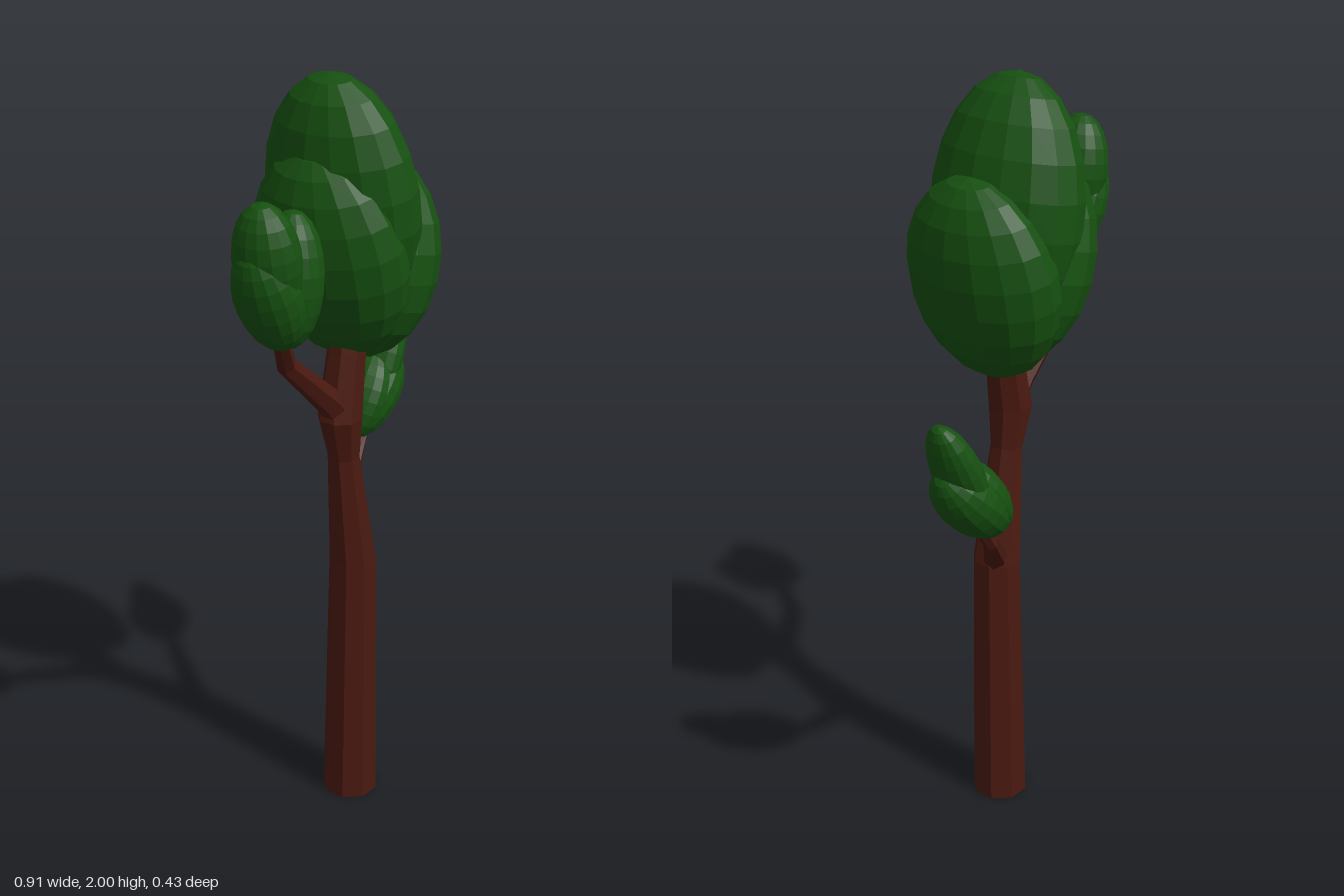
import * as THREE from 'three';

const bark = new THREE.MeshStandardMaterial({ color: 0x4a1a10, flatShading: true });
const leaf = new THREE.MeshStandardMaterial({ color: 0x165010, flatShading: true });

// Faceted limb: rings [x, y, z, radius] joined along a path, capped at both ends
function limb(name, rings, sides) {
  const centres = rings.map(([x, y, z]) => new THREE.Vector3(x, y, z));
  const up = new THREE.Vector3(0, 1, 0);
  const pos = [];
  const index = [];
  rings.forEach((ring, k) => {
    const next = centres[Math.min(k + 1, rings.length - 1)];
    const dir = next.clone().sub(centres[Math.max(k - 1, 0)]).normalize();
    const turn = new THREE.Quaternion().setFromUnitVectors(up, dir);
    for (let i = 0; i < sides; i++) {
      const a = ((i + 0.5) / sides) * Math.PI * 2;
      const p = new THREE.Vector3(Math.cos(a) * ring[3], 0, Math.sin(a) * ring[3]);
      pos.push(...p.applyQuaternion(turn).add(centres[k]).toArray());
    }
  });
  const last = (rings.length - 1) * sides;
  const bottom = rings.length * sides;
  pos.push(...centres[0].toArray(), ...centres[rings.length - 1].toArray());
  for (let i = 0; i < sides; i++) {
    const j = (i + 1) % sides;
    for (let k = 0; k < last; k += sides) {
      index.push(k + i, k + sides + i, k + j, k + j, k + sides + i, k + sides + j);
    }
    index.push(bottom, i, j, bottom + 1, last + j, last + i);
  }
  const geo = new THREE.BufferGeometry();
  geo.setAttribute('position', new THREE.Float32BufferAttribute(pos, 3));
  geo.setIndex(index);
  geo.computeVertexNormals();
  const mesh = new THREE.Mesh(geo, bark);
  mesh.name = name;
  return mesh;
}

// Foliage cluster: leaning ellipsoids { at, size (radii), lean (degrees towards +x) }
function foliage(name, lobes) {
  const cluster = new THREE.Group();
  cluster.name = name;
  lobes.forEach(({ at, size, lean }, i) => {
    const lobe = new THREE.Mesh(new THREE.SphereGeometry(1, 16, 11), leaf);
    lobe.name = `${name}Lobe${i + 1}`;
    lobe.position.set(...at);
    lobe.scale.set(...size);
    lobe.rotation.z = THREE.MathUtils.degToRad(-lean);
    cluster.add(lobe);
  });
  return cluster;
}

export function createModel() {
  const tree = new THREE.Group();
  tree.name = 'tree';

  // Trunk and two bent branches
  tree.add(limb('trunk', [
    [0.04, 0, 0.035, 0.075],
    [0.045, 0.72, 0.037, 0.063],
    [0.003, 1.03, 0.038, 0.042],
    [-0.014, 1.14, 0.039, 0.058],
    [0.015, 1.31, 0.037, 0.05],
    [0.03, 1.45, 0.03, 0.04],
  ], 8));
  tree.add(limb('rightBranch', [
    [0.0, 1.13, 0.04, 0.042],
    [-0.06, 1.2, 0.04, 0.036],
    [-0.215, 1.345, 0.035, 0.025],
    [-0.29, 1.45, 0.08, 0.02],
    [-0.32, 1.52, 0.11, 0.015],
  ], 6));
  tree.add(limb('leftBranch', [
    [0.06, 0.72, 0.03, 0.032],
    [0.1, 0.765, -0.005, 0.03],
    [0.22, 0.88, -0.095, 0.019],
    [0.275, 0.95, -0.11, 0.016],
    [0.31, 1.02, -0.12, 0.013],
  ], 6));

  // Crown and the smaller clusters at the branch tips
  tree.add(foliage('crown', [
    { at: [0.045, 1.68, 0], size: [0.142, 0.323, 0.212], lean: -9 },
    { at: [0.13, 1.525, 0], size: [0.133, 0.262, 0.214], lean: 11 },
    { at: [0.0, 1.56, 0], size: [0.14, 0.28, 0.212], lean: -14 },
  ]));
  tree.add(foliage('rightFoliage', [
    { at: [-0.372, 1.665, 0.115], size: [0.073, 0.138, 0.085], lean: -8 },
    { at: [-0.37, 1.575, 0.115], size: [0.072, 0.142, 0.085], lean: -22 },
    { at: [-0.29, 1.597, 0.113], size: [0.072, 0.163, 0.083], lean: 5 },
  ]));
  tree.add(foliage('leftFoliage', [
    { at: [0.37, 1.135, -0.13], size: [0.052, 0.162, 0.072], lean: 25 },
    { at: [0.33, 1.05, -0.13], size: [0.076, 0.14, 0.086], lean: 45 },
    { at: [0.295, 1.055, -0.13], size: [0.055, 0.125, 0.08], lean: 30 },
  ]));

  return tree;
}
